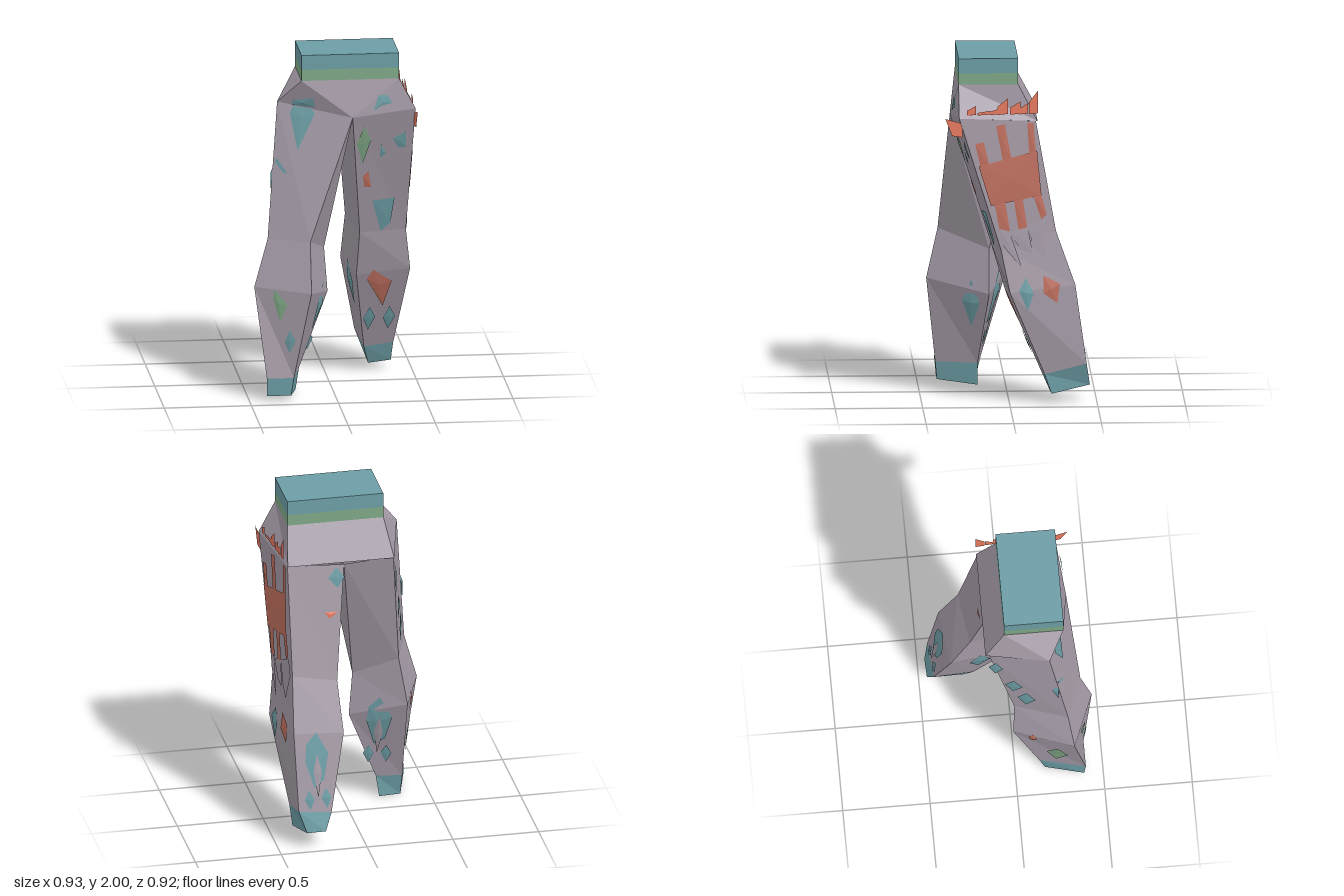
import * as THREE from 'three';

const mat = (name, color) => {
  const m = new THREE.MeshStandardMaterial({ color, side: THREE.DoubleSide, flatShading: true });
  m.name = name;
  return m;
};

export function createModel() {
  const cloth = mat('mauve cloth', 0xa59ba7);
  const teal = mat('teal', 0x6d9ea6);
  const green = mat('green', 0x7fa886);
  const coral = mat('coral', 0xe87a5f);
  const rust = mat('rust', 0xc0705f);
  const group = new THREE.Group();

  function add(name, tris, material, parent = group) {
    const g = new THREE.BufferGeometry();
    g.setAttribute('position', new THREE.Float32BufferAttribute(tris.flat(2), 3));
    g.computeVertexNormals();
    const m = new THREE.Mesh(g, material);
    m.name = name;
    parent.add(m);
    return m;
  }

  // Skin between rings (listed top to bottom, anticlockwise from above)
  function loft(name, rings, material, capBottom) {
    const t = [];
    for (let r = 0; r + 1 < rings.length; r++) {
      const a = rings[r], b = rings[r + 1], n = a.length;
      for (let i = 0; i < n; i++) {
        const j = (i + 1) % n;
        t.push([a[i], b[i], b[j]], [a[i], b[j], a[j]]);
      }
    }
    const e = rings[rings.length - 1];
    if (capBottom) for (let i = 1; i + 1 < e.length; i++) t.push([e[0], e[i + 1], e[i]]);
    return add(name, t, material);
  }

  // Waistband
  const band = (name, y0, y1, m) => {
    const b = new THREE.Mesh(new THREE.BoxGeometry(0.56, y1 - y0, 0.34), m);
    b.position.set(0.09, (y0 + y1) / 2, 0.12);
    b.name = name;
    group.add(b);
  };
  band('waistband', 1.915, 2, teal);
  band('waistbandStripe', 1.85, 1.915, green);

  // Hips flaring out from the waistband
  const wFL = [-0.19, 1.85, 0.29], wFR = [0.37, 1.85, 0.29], wBR = [0.37, 1.85, -0.05], wBL = [-0.19, 1.85, -0.05];
  const hL = [-0.32, 1.71, 0.2], crotch = [0.1, 1.635, 0.33], hR = [0.465, 1.67, 0.29];
  const hBR = [0.39, 1.64, -0.16], hBL = [-0.23, 1.64, -0.16];
  const hips = add('hips', [
    [wFL, hL, crotch], [wFL, crotch, wFR], [wFR, crotch, hR],
    [wFR, hR, hBR], [wFR, hBR, wBR], [wBR, hBR, hBL], [wBR, hBL, wBL],
    [wBL, hBL, hL], [wBL, hL, wFL],
    [crotch, hL, hBL], [crotch, hBL, hBR], [crotch, hBR, hR],
  ], cloth);

  // Legs: the right steps forward, the left trails back
  const crotchBack = [0.05, 1.6, -0.1];
  const rAnkle = [[-0.4, 0.13, 0.4], [-0.245, 0.13, 0.4], [-0.19, 0.13, 0.16], [-0.34, 0.13, 0.14]];
  const rightLeg = loft('rightLeg', [
    [hL, crotch, crotchBack, [-0.23, 1.64, -0.14]],
    [[-0.385, 0.93, 0.3], [-0.15, 0.925, 0.39], [-0.04, 0.82, 0.1], [-0.29, 0.93, 0]],
    [[-0.465, 0.655, 0.33], [-0.15, 0.635, 0.455], [-0.02, 0.56, 0.1], [-0.34, 0.64, -0.01]],
    rAnkle,
  ], cloth);
  loft('rightCuff', [rAnkle,
    [[-0.4, 0.025, 0.39], [-0.26, 0.025, 0.39], [-0.21, 0, 0.16], [-0.335, 0, 0.17]]], teal, true);
  const lAnkle = [[0.22, 0.15, -0.19], [0.39, 0.17, -0.2], [0.385, 0.23, -0.44], [0.19, 0.2, -0.42]];
  const leftLeg = loft('leftLeg', [
    [crotch, hR, [0.39, 1.64, -0.15], crotchBack],
    [[0.165, 0.9, 0.1], [0.435, 0.9, 0.05], [0.385, 1, -0.265], [0.115, 0.93, -0.22]],
    [[0.155, 0.63, 0.02], [0.465, 0.655, 0], [0.4, 0.69, -0.375], [0.1, 0.65, -0.33]],
    lAnkle,
  ], cloth);
  loft('leftCuff', [lAnkle,
    [[0.25, 0.04, -0.24], [0.38, 0.055, -0.24], [0.34, 0.1, -0.46], [0.23, 0.1, -0.455]]], teal, true);

  // Thin patches laid on a surface; points are (x or z, y), seen along the given direction
  const ray = new THREE.Raycaster();
  function patch(name, target, dir, material, pts, lift = 0.007) {
    const d = new THREE.Vector3(...dir);
    const at = ([a, y]) => (d.x ? new THREE.Vector3(0, y, a) : new THREE.Vector3(a, y, 0)).addScaledVector(d, 3);
    const cast = (p) => {
      ray.set(at(p), d.clone().negate());
      return ray.intersectObject(target)[0];
    };
    const c = pts.reduce((s, p) => [s[0] + p[0] / pts.length, s[1] + p[1] / pts.length], [0, 0]);
    const hit = cast(c);
    if (!hit) return;
    const n = hit.face.normal.clone();
    if (n.dot(d) < 0) n.negate();
    const plane = new THREE.Plane().setFromNormalAndCoplanarPoint(n, hit.point);
    const corners = pts.map((p) => {
      const h = cast(p);
      const o = at(p);
      const v = h ? h.point : o.addScaledVector(d, -plane.distanceToPoint(o) / n.dot(d));
      return v.addScaledVector(n, lift).toArray();
    });
    const mid = hit.point.clone().addScaledVector(n, lift + 0.004).toArray();
    add(name, corners.map((p, i) => [mid, p, corners[(i + 1) % corners.length]]), material);
  }
  const gem = (x, y, w, h) => [[x, y + h], [x + w, y + 0.1 * h], [x - 0.1 * w, y - h], [x - w, y]];
  const F = [0, 0, 1], B = [0, 0, -1], L = [1, 0, 0], R = [-1, 0, 0];

  // Front patches
  patch('hipPatch', rightLeg, F, teal, [[-0.23, 1.69], [-0.13, 1.68], [-0.11, 1.65], [-0.21, 1.44], [-0.25, 1.65]]);
  patch('hipPatchTop', hips, F, teal, [[-0.23, 1.73], [-0.12, 1.75], [-0.11, 1.69], [-0.24, 1.7]]);
  patch('shinPatch', rightLeg, F, green, [[-0.35, 0.65], [-0.28, 0.56], [-0.32, 0.46], [-0.36, 0.6]]);
  patch('shinPatch', rightLeg, F, teal, gem(-0.265, 0.345, 0.03, 0.07));
  patch('thighPatch', leftLeg, F, green, [[0.17, 1.58], [0.21, 1.49], [0.165, 1.34], [0.125, 1.47]]);
  patch('hipPatch', hips, F, teal, [[0.25, 1.76], [0.3, 1.76], [0.33, 1.71], [0.27, 1.7], [0.22, 1.67]]);
  patch('thighPatch', leftLeg, F, teal, [[0.335, 1.49], [0.41, 1.53], [0.415, 1.43], [0.37, 1.43]]);
  patch('thighPatch', leftLeg, F, teal, [[0.27, 1.46], [0.3, 1.4], [0.265, 1.37]]);
  patch('thighPatch', leftLeg, F, rust, [[0.17, 1.26], [0.2, 1.29], [0.22, 1.19], [0.18, 1.19]]);
  patch('thighPatch', leftLeg, F, teal, [[0.23, 1.1], [0.36, 1.11], [0.34, 0.95], [0.285, 0.9]]);
  patch('shinPatch', leftLeg, F, rust, [[0.25, 0.66], [0.36, 0.58], [0.315, 0.42], [0.215, 0.6]]);
  for (const x of [0.24, 0.355]) patch('shinPatch', leftLeg, F, teal, gem(x, 0.34, 0.035, 0.075));

  // Torn side panel with straps and fringe on the left leg
  patch('sidePanel', leftLeg, L, rust, [[0.18, 1.39], [-0.155, 1.47], [-0.18, 1.21], [0.11, 1.16]], 0.009);
  [
    [[0.2, 1.52], [0.15, 1.53], [0.12, 1.4], [0.17, 1.39]],
    [[0.08, 1.62], [0.03, 1.63], [-0.01, 1.42], [0.04, 1.41]],
    [[-0.1, 1.63], [-0.135, 1.63], [-0.15, 1.45], [-0.11, 1.45]],
    [[0.09, 1.18], [0.03, 1.19], [0, 1.01], [0.06, 1.02]],
    [[-0.02, 1.2], [-0.07, 1.21], [-0.1, 1.02], [-0.05, 1.01]],
    [[-0.13, 1.22], [-0.175, 1.23], [-0.21, 1.1], [-0.18, 1.07]],
  ].forEach((s) => patch('sideStrap', leftLeg, L, rust, s));
  [
    [[0.06, 1.03], [0, 1], [-0.07, 0.79], [0.05, 0.94]],
    [[0, 1], [-0.1, 1.04], [-0.13, 0.88], [-0.06, 0.9]],
    [[-0.1, 1.04], [-0.22, 1.09], [-0.25, 1], [-0.21, 0.84], [-0.13, 0.92]],
  ].forEach((s) => patch('sideFringe', leftLeg, L, cloth, s));
  patch('kneePatch', leftLeg, L, teal, [[-0.09, 0.74], [-0.135, 0.65], [-0.1, 0.55], [-0.05, 0.67]]);
  patch('kneePatch', leftLeg, L, rust, [[-0.19, 0.75], [-0.285, 0.7], [-0.27, 0.59], [-0.19, 0.65]]);

  // Ragged upright fringe along the left hip
  const hipX = (z) => 0.445 + (z - 0.29) * 0.1;
  const upright = (pts) => pts.map(([z, y]) => [hipX(z) + 0.015, y, z]);
  [[0.22, 0.05, 1.74], [0.15, 0.07, 1.71], [0.09, 0.05, 1.72], [0.04, 0.06, 1.78],
    [-0.03, 0.06, 1.76], [-0.08, 0.05, 1.75], [-0.135, 0.05, 1.82]].forEach(([z, w, top]) => {
    const [a, b, c, d] = upright([[z + w / 2, 1.685], [z - w / 2, 1.69], [z - w / 2, top], [z + w / 2, (top + 1.69) / 2]]);
    add('hipSpike', [[a, b, c], [a, c, d]], coral);
  });
  const tab = upright([[0.37, 1.67], [0.27, 1.64], [0.27, 1.56], [0.33, 1.57]]);
  add('hipTab', [[tab[0], tab[2], tab[1]], [tab[0], tab[3], tab[2]]], coral);

  // Outer patches on the right leg
  [[0.25, 1.3, 0.035, 0.09], [0, 1.26, 0.05, 0.08], [0.07, 1.1, 0.05, 0.09], [-0.1, 1.48, 0.04, 0.08]]
    .forEach(([z, y, w, h]) => patch('thighPatch', rightLeg, R, teal, gem(z, y, w, h)));
  patch('kneePatch', rightLeg, R, rust, gem(0.1, 0.62, 0.025, 0.06));
  patch('shinPatch', rightLeg, R, green, gem(0.24, 0.36, 0.06, 0.13));

  // Back patches and calf openings
  patch('seatPatch', leftLeg, B, teal, gem(0.1, 1.53, 0.05, 0.06));
  patch('backPatch', leftLeg, B, coral, [[0.1, 1.33], [0.18, 1.34], [0.15, 1.3]]);
  for (const [leg, x] of [[leftLeg, 0.27], [rightLeg, -0.19]]) {
    patch('calfPatch', leg, B, teal, [[x, 0.68], [x + 0.06, 0.62], [x + 0.07, 0.52], [x + 0.02, 0.36], [x - 0.04, 0.4], [x - 0.07, 0.55]]);
    patch('calfSpike', leg, B, cloth, [[x, 0.56], [x + 0.025, 0.45], [x, 0.3], [x - 0.025, 0.45]], 0.013);
    patch('calfPatch', leg, B, teal, gem(x - 0.05, 0.29, 0.03, 0.06));
    patch('calfPatch', leg, B, teal, gem(x + 0.05, 0.29, 0.03, 0.06));
  }

  // Inner patches
  patch('innerPatch', leftLeg, R, teal, gem(-0.05, 1.38, 0.04, 0.09));
  patch('innerPatch', leftLeg, R, teal, gem(-0.16, 0.55, 0.06, 0.14));
  patch('innerPatch', rightLeg, L, teal, gem(0.2, 0.5, 0.05, 0.14));
  return group;
}
